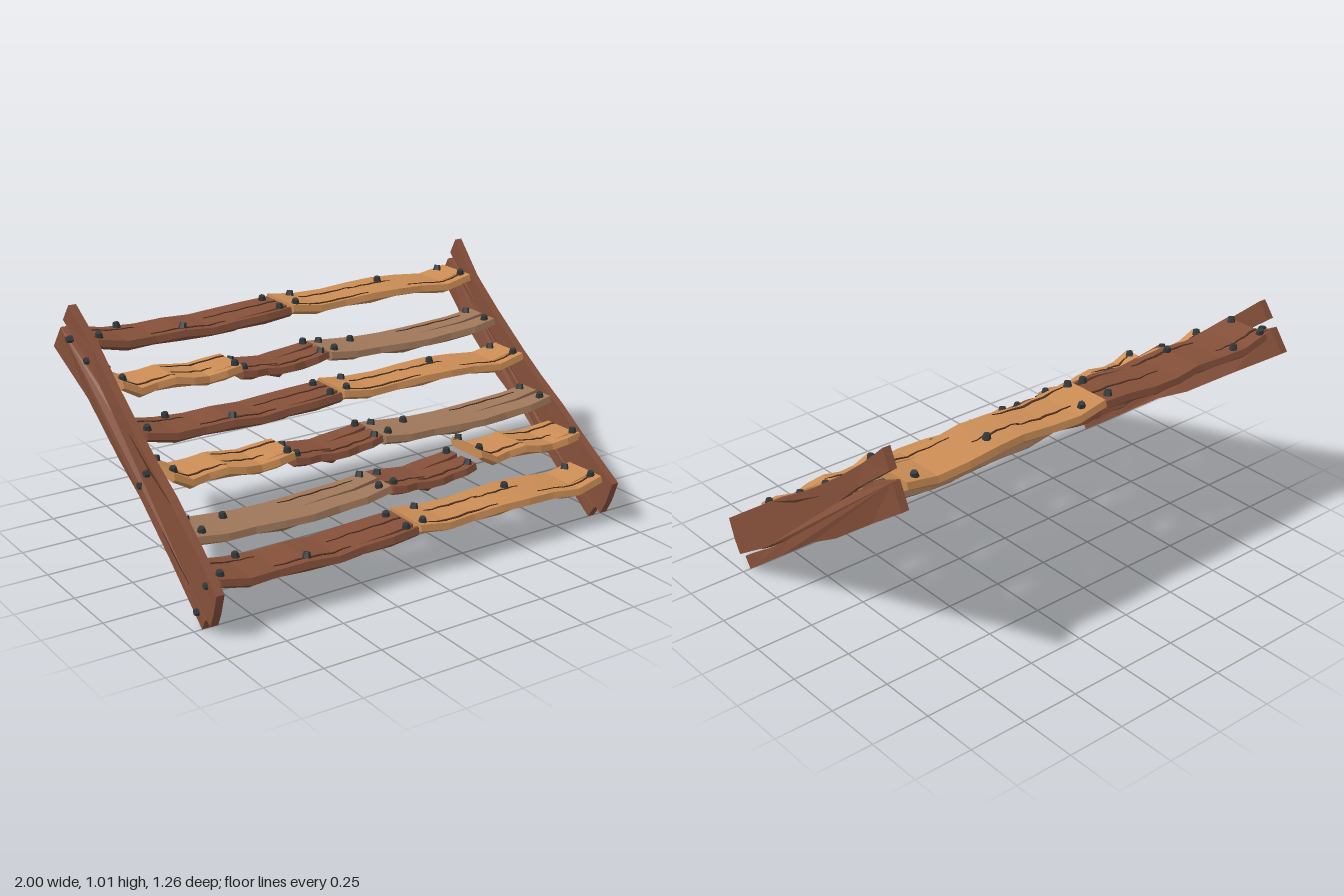
import * as THREE from 'three';

const mat = (name, color) => {
  const m = new THREE.MeshStandardMaterial({ color });
  m.name = name;
  return m;
};

// Piecewise-linear curve through evenly spaced values, u in 0..1
const sample = (values, u) => {
  const t = Math.min(Math.max(u, 0), 1) * (values.length - 1);
  const i = Math.min(Math.floor(t), values.length - 2);
  return values[i] + (values[i + 1] - values[i]) * (t - i);
};

// Skin a list of equal-length closed sections, with flat faces and capped ends
function skin(sections) {
  const n = sections[0].length, index = [], last = (sections.length - 1) * n;
  for (let i = 0; i < sections.length - 1; i++) {
    for (let j = 0; j < n; j++) {
      const a = i * n + j, c = i * n + (j + 1) % n;
      index.push(a, a + n, c, c, a + n, c + n);
    }
  }
  for (let j = 1; j < n - 1; j++) {
    index.push(0, j, j + 1, last, last + j + 1, last + j);
  }
  const g = new THREE.BufferGeometry();
  g.setAttribute('position', new THREE.Float32BufferAttribute(sections.flat(2), 3));
  g.setIndex(index);
  const flat = g.toNonIndexed();
  flat.computeVertexNormals();
  return flat;
}

export function createModel() {
  const model = new THREE.Group();
  model.name = 'woodenStairs';
  const M = {
    brown: mat('darkWood', 0x85503a),
    orange: mat('orangeWood', 0xcb8d55),
    tan: mat('greyWood', 0xa0785a),
    crack: mat('crackShade', 0x4f301f),
    iron: mat('iron', 0x33393b),
  };
  const add = (parent, name, geo, material) => {
    const mesh = new THREE.Mesh(geo, material);
    mesh.name = name;
    parent.add(mesh);
    return mesh;
  };

  // Plank kinds: length, warp heights, split [position across, start along, end gap],
  // cracks [from, to, across, half width], nails [along, across]; across 0 = back, 1 = front
  const kinds = {
    longBrown: {
      mat: M.brown, len: 0.9, warp: [0.025, 0.0, -0.005, 0.0, -0.01, -0.005, 0.005, 0.01],
      split: [0.86, 0.7, 0.012],
      cracks: [[0, 0.26, 0.27, 0.008], [0.28, 0.66, 0.82, 0.008], [0.6, 0.99, 0.42, 0.007]],
      nails: [[0.02, 0.1], [0.02, 0.82], [0.19, 0.13], [0.44, 0.8], [0.95, 0.2], [0.95, 0.86]],
    },
    longOrange: {
      mat: M.orange, len: 0.95, warp: [0.02, 0.0, 0.0, 0.01, 0.01, 0.0, -0.012, 0.01],
      split: [0.72, 0.8, 0.004],
      cracks: [[0.12, 0.4, 0.35, 0.007], [0.38, 0.62, 0.4, 0.006], [0.04, 0.42, 0.88, 0.008],
        [0.66, 0.99, 0.8, 0.007]],
      nails: [[0.1, 0.18], [0.03, 0.85], [0.56, 0.32], [0.94, 0.16], [0.97, 0.8]],
    },
    shortOrange: {
      mat: M.orange, len: 0.54, warp: [0.07, 0.03, 0.035, 0.045, 0.03, 0.018, 0.03, 0.035],
      split: [0.84, 0.75, 0.004],
      cracks: [[0.45, 0.99, 0.2, 0.008], [0.02, 0.45, 0.8, 0.008], [0.45, 0.8, 0.62, 0.006]],
      nails: [[0.03, 0.12], [0.03, 0.8], [0.96, 0.85]],
    },
    shortBrown: {
      mat: M.brown, len: 0.42, warp: [0.012, 0.005, 0, -0.005, -0.002, 0, 0.01, 0.018],
      split: [0.4, 0.5, 0.014],
      cracks: [[0, 0.45, 0.72, 0.008], [0.35, 0.95, 0.82, 0.008]],
      nails: [[0.06, 0.25], [0.05, 0.82], [0.94, 0.12], [0.93, 0.86]],
    },
    grey: {
      mat: M.tan, len: 0.88, warp: [0.015, 0, -0.008, -0.01, -0.012, -0.01, 0.0, 0.015],
      split: [0.55, 0.58, 0.013],
      cracks: [[0.5, 0.9, 0.2, 0.004]],
      nails: [[0.04, 0.2], [0.04, 0.8], [0.21, 0.3], [0.95, 0.15], [0.95, 0.84]],
    },
  };
  const frontWave = [0, 0.008, -0.006, 0.004, 0.01, -0.004, 0.006, -0.008];
  const backWave = [0.004, -0.004, 0.006, 0.01, 0.0, -0.006, 0.004, 0.006];
  const nailGeo = new THREE.CylinderGeometry(0.013, 0.018, 0.024, 6).toNonIndexed();
  nailGeo.computeVertexNormals();

  function plank(kind, x0, base, zb, zf) {
    const k = kinds[kind], g = new THREE.Group();
    g.name = kind + 'Plank';
    const y = (u) => base + sample(k.warp, u);
    const zAt = (u, v) => THREE.MathUtils.lerp(zb + sample(backWave, u), zf + sample(frontWave, u), v);
    const us = [...new Set([0, 1, 2, 3, 4, 5, 6, 7].map((i) => i / 7).concat(k.split[1]))].sort((a, b) => a - b);
    const gap = (u) => k.split[2] * Math.max(0, (u - k.split[1]) / (1 - k.split[1]));
    // Two lanes that part at the split; outer edges swell, then cut under
    const front = [], back = [];
    us.forEach((u, i) => {
      const x = x0 + u * k.len, t = y(u), b = t - 0.042 - 0.006 * (i % 2);
      const cut = 0.02 + 0.02 * (i % 3);
      const f = zAt(u, 1), r = zAt(u, 0), s = zAt(u, k.split[0]);
      const sf = s + gap(u), sb = s - gap(u), fb = Math.max(f - cut, sf + 0.004);
      front.push([[x, b, fb], [x, t - 0.026, f + 0.005], [x, t, f - 0.004], [x, t, sf], [x, b, sf]]);
      back.push([[x, b, sb], [x, t, sb], [x, t, r + 0.004], [x, t - 0.026, r - 0.005], [x, b, r + 0.02]]);
    });
    add(g, 'frontLane', skin(front), k.mat);
    add(g, 'backLane', skin(back), k.mat);
    // Slim cracks on the top face
    for (const [a, c, v, w] of k.cracks) {
      const sec = [0, 0.15, 0.3, 0.45, 0.6, 0.75, 0.9, 1].map((q, i) => {
        const u = a + (c - a) * q, x = x0 + u * k.len, t = y(u);
        const h = 0.0008 + w * 0.6 * (a === 0 ? 1 - q : c > 0.98 ? q : Math.sin(Math.PI * q));
        const z = zAt(u, v) + (i % 2 ? 0.004 : -0.002);
        return [[x, t - 0.002, z + h], [x, t + 0.003, z + h], [x, t + 0.003, z - h], [x, t - 0.002, z - h]];
      });
      add(g, 'crack', skin(sec), M.crack);
    }
    // Leaning nails
    k.nails.forEach(([u, v], i) => {
      const nail = add(g, 'nail', nailGeo, M.iron);
      nail.position.set(x0 + u * k.len, y(u) + 0.01, zAt(u, v));
      nail.rotation.set(0.25 * (i % 3 - 1), i, 0.25 * (i % 2 ? 1 : -1));
    });
    return g;
  }

  // Treads: height, back z, front z, planks with their start x
  const pair = [['longBrown', -0.925], ['longOrange', -0.02]];
  const trio = [['shortOrange', -0.92], ['shortBrown', -0.38], ['grey', 0.05]];
  const shifted = [['grey', -0.925], ['shortBrown', -0.04], ['shortOrange', 0.4]];
  [
    [0.2, 0.36, 0.58, pair], [0.32, 0.21, 0.42, shifted], [0.455, 0.03, 0.235, trio],
    [0.6, -0.175, 0.035, pair], [0.705, -0.37, -0.165, trio], [0.87, -0.58, -0.355, pair],
  ].forEach(([y, zb, zf, planks], i) => {
    const tread = new THREE.Group();
    tread.name = 'tread' + (i + 1);
    planks.forEach(([kind, x]) => tread.add(plank(kind, x, y, zb, zf)));
    model.add(tread);
  });

  // Side boards: outline as (z, y), split at both ends
  const outline = [
    [0.63, 0.19], [0.6, 0.1], [0.57, 0.04], [0.38, 0.16], [0.2, 0.285], [0.37, 0.155], [0.53, 0.05], [0.5, 0],
    [0.26, 0.18], [0.02, 0.36], [-0.15, 0.46], [-0.4, 0.645], [-0.63, 0.81], [-0.57, 0.905], [-0.4, 0.815],
    [-0.3, 0.73], [-0.18, 0.635], [-0.31, 0.755], [-0.41, 0.83], [-0.55, 0.94], [-0.505, 1.01],
    [-0.35, 0.875], [-0.2, 0.755], [0, 0.61], [0.12, 0.53], [0.27, 0.44], [0.45, 0.315],
  ];
  const shape = new THREE.Shape(outline.map(([z, y]) => new THREE.Vector2(-z, y)));
  for (const side of [1, -1]) {
    const geo = new THREE.ExtrudeGeometry(shape, { depth: 0.034, bevelEnabled: false });
    geo.rotateY(Math.PI / 2).translate(side > 0 ? 0.926 : -0.96, 0, 0);
    const p = geo.attributes.position;
    for (let i = 0; i < p.count; i++) {
      const z = p.getZ(i);
      const bend = 0.04 * Math.max(0, (-z - 0.36) / 0.27) + 0.012 * Math.max(0, (z - 0.4) / 0.23);
      p.setX(i, p.getX(i) + side * bend);
    }
    geo.computeVertexNormals();
    const board = new THREE.Group();
    board.name = side > 0 ? 'leftSideBoard' : 'rightSideBoard';
    add(board, 'board', geo, M.brown);
    // Long cracks on the outer face
    const cracks = [[[-0.05, 0.6], [0.12, 0.5], [0.28, 0.425]], [[0.2, 0.285], [0.32, 0.2], [0.4, 0.145]]];
    for (const pts of cracks) {
      const x = side * 0.96;
      const sec = pts.map(([z, y], i) => {
        const h = i === 1 ? 0.005 : 0.001;
        return [[x - 0.002, y - h, z], [x + 0.002, y - h, z], [x + 0.002, y + h, z], [x - 0.002, y + h, z]];
      });
      add(board, 'crack', skin(sec.reverse()), M.crack).material = M.crack;
    }
    model.add(board);
  }

  // Nails on the outer face of the right side board
  [[0.55, 0.2], [0.47, 0.06], [0.1, 0.49], [0.04, 0.42], [-0.38, 0.81], [-0.5, 0.87]].forEach(([z, y]) => {
    const nail = add(model, 'sideNail', nailGeo, M.iron);
    nail.position.set(-0.967 - 0.04 * Math.max(0, (-z - 0.36) / 0.27), y, z);
    nail.rotation.z = Math.PI / 2;
  });
  return model;
}
